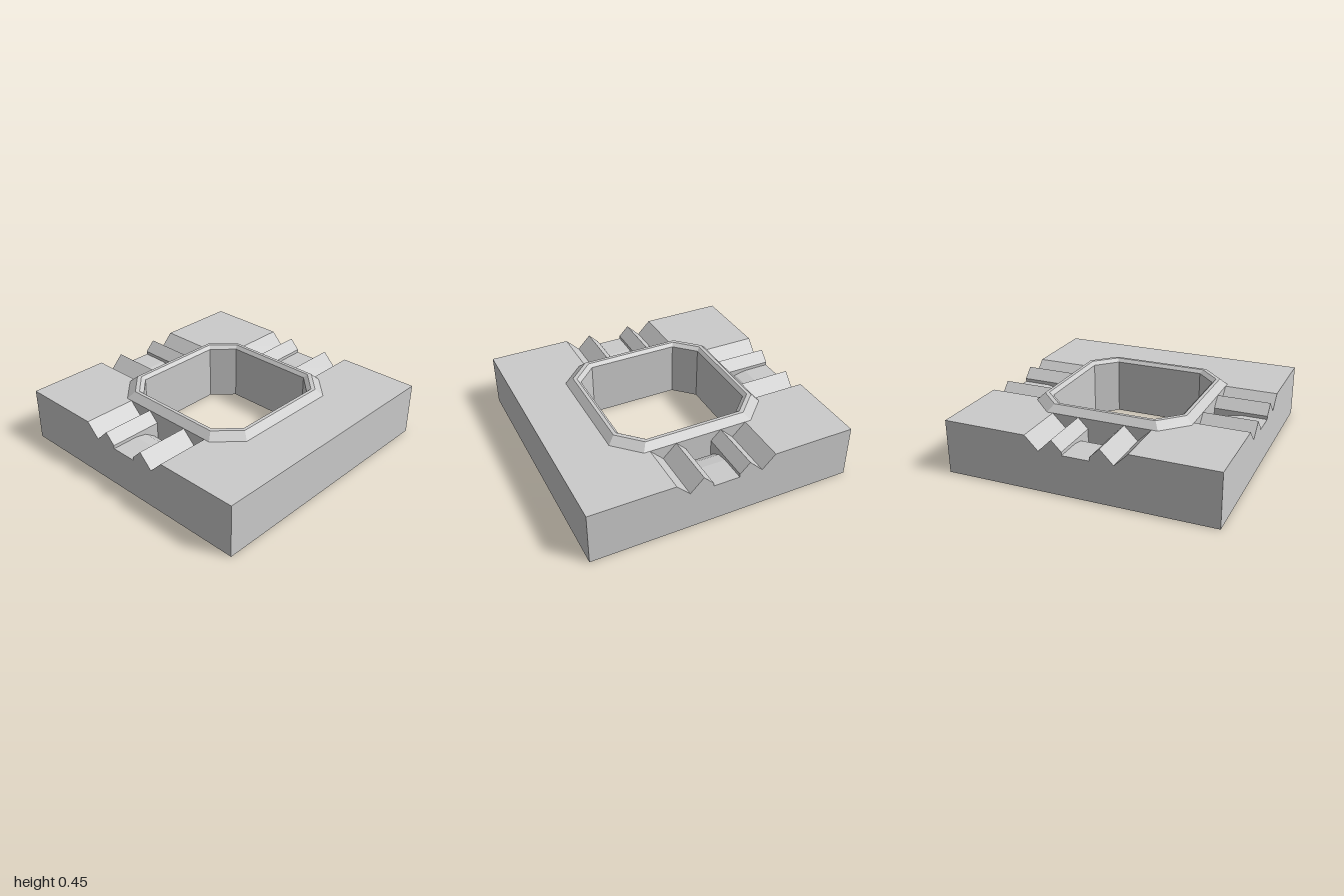
import * as THREE from 'three';
import { mergeGeometries } from 'three/addons/utils/BufferGeometryUtils.js';

const material = new THREE.MeshStandardMaterial({ color: 0xcccccc, flatShading: true });
const HALF = 1, TOP = 0.4, RIM = 0.6, HOLE = 0.5, CHAMFER = 0.7, GROOVE = 0.375;

// Flat polygon in the XY plane, facing +z, with optional hole
function polygon(points, hole) {
  const shape = new THREE.Shape(points.map(([x, y]) => new THREE.Vector2(x, y)));
  if (hole) shape.holes.push(new THREE.Path(hole.map(([x, y]) => new THREE.Vector2(x, y))));
  const geometry = new THREE.ShapeGeometry(shape).toNonIndexed();
  geometry.deleteAttribute('uv');
  return geometry;
}

// Quad with corners counter-clockwise as seen from its front
function quad(a, b, c, d) {
  const geometry = new THREE.BufferGeometry();
  geometry.setAttribute('position', new THREE.Float32BufferAttribute([a, b, c, a, c, d].flat(), 3));
  geometry.computeVertexNormals();
  return geometry;
}

// Chamfered square, counter-clockwise from above, as [x, -z]
function octagon(h) {
  const c = h * CHAMFER;
  return [[h, -c], [h, c], [c, h], [-c, h], [-h, c], [-h, -c], [-c, -h], [c, -h]];
}

function mesh(name, parts) {
  const result = new THREE.Mesh(mergeGeometries(parts), material);
  result.name = name;
  return result;
}

// Underside, plain front wall and level ground around the channels
function createBlock() {
  const square = [[-HALF, -HALF], [HALF, -HALF], [HALF, HALF], [-HALF, HALF]];
  const c = RIM * CHAMFER;
  const ground = (points) => polygon(points.map(([x, z]) => [x, -z]))
    .rotateX(-Math.PI / 2).translate(0, TOP, 0);
  const parts = [
    polygon(square, octagon(HOLE)).rotateX(Math.PI / 2),
    polygon([[-HALF, 0], [HALF, 0], [HALF, TOP], [-HALF, TOP]]).translate(0, 0, HALF),
    ground([[-HALF, GROOVE], [-RIM, GROOVE], [-RIM, c], [-c, RIM], [c, RIM], [RIM, c],
      [RIM, GROOVE], [HALF, GROOVE], [HALF, HALF], [-HALF, HALF]]),
  ];
  for (const s of [-1, 1]) {
    parts.push(ground([[GROOVE, -HALF], [HALF, -HALF], [HALF, -GROOVE], [RIM, -GROOVE],
      [RIM, -c], [c, -RIM], [GROOVE, -RIM]].map(([x, z]) => [s * x, z])));
  }
  return mesh('block', parts);
}

// Bevelled rim running over into the wall of the shaft
function createRim() {
  const profile = [[RIM, TOP], [0.55, 0.45], [0.525, 0.45], [HOLE, 0.425], [HOLE, 0]];
  const loops = profile.map(([h, y]) => octagon(h).map(([x, mz]) => [x, y, -mz]));
  const parts = [];
  for (let k = 0; k < loops.length - 1; k++) {
    const a = loops[k], b = loops[k + 1];
    for (let i = 0; i < 8; i++) {
      const j = (i + 1) % 8;
      parts.push(quad(a[i], a[j], b[j], b[i]));
    }
  }
  return mesh('rimAndShaft', parts);
}

// Channel running towards +z: two V grooves and a trough that falls away at the rim
function createChannel(name, angle) {
  const W = 0.1, FLOOR = 0.3;
  const left = [[-GROOVE, TOP], [-0.275, 0.3], [-0.175, TOP], [-W, 0.325], [-W, FLOOR]];
  const right = left.map(([x, y]) => [-x, y]).reverse();
  const cascade = [[HALF, FLOOR], [0.8, FLOOR], [0.712, 0.2825], [0.637, 0.233], [RIM, 0.178]];
  const parts = [];

  // Groove slopes
  for (const side of [left, right]) {
    for (let i = 0; i < side.length - 1; i++) {
      const [x0, y0] = side[i], [x1, y1] = side[i + 1];
      parts.push(quad([x0, y0, HALF], [x1, y1, HALF], [x1, y1, RIM], [x0, y0, RIM]));
    }
  }
  // Trough floor
  for (let i = 0; i < cascade.length - 1; i++) {
    const [z0, y0] = cascade[i], [z1, y1] = cascade[i + 1];
    parts.push(quad([-W, y0, z0], [W, y0, z0], [W, y1, z1], [-W, y1, z1]));
  }
  // Cheeks beside the falling floor
  const cheek = [...cascade.slice(1), [RIM, FLOOR]];
  parts.push(polygon(cheek.map(([z, y]) => [-z, y])).rotateY(Math.PI / 2).translate(-W, 0, 0));
  parts.push(polygon(cheek).rotateY(-Math.PI / 2).translate(W, 0, 0));

  // Wall below the rim, and the block's outer wall with the channel outline
  parts.push(polygon([...left, [-W, 0.178], [W, 0.178], ...right]).translate(0, 0, RIM));
  parts.push(polygon([[-HALF, 0], [-HALF, TOP], ...left, ...right, [HALF, TOP], [HALF, 0]])
    .translate(0, 0, HALF));

  const channel = mesh(name, parts);
  channel.rotation.y = angle;
  return channel;
}

export function createModel() {
  const model = new THREE.Group();
  model.name = 'channelBlock';
  model.add(
    createBlock(),
    createRim(),
    createChannel('leftChannel', Math.PI / 2),
    createChannel('backChannel', Math.PI),
    createChannel('rightChannel', -Math.PI / 2),
  );
  return model;
}
